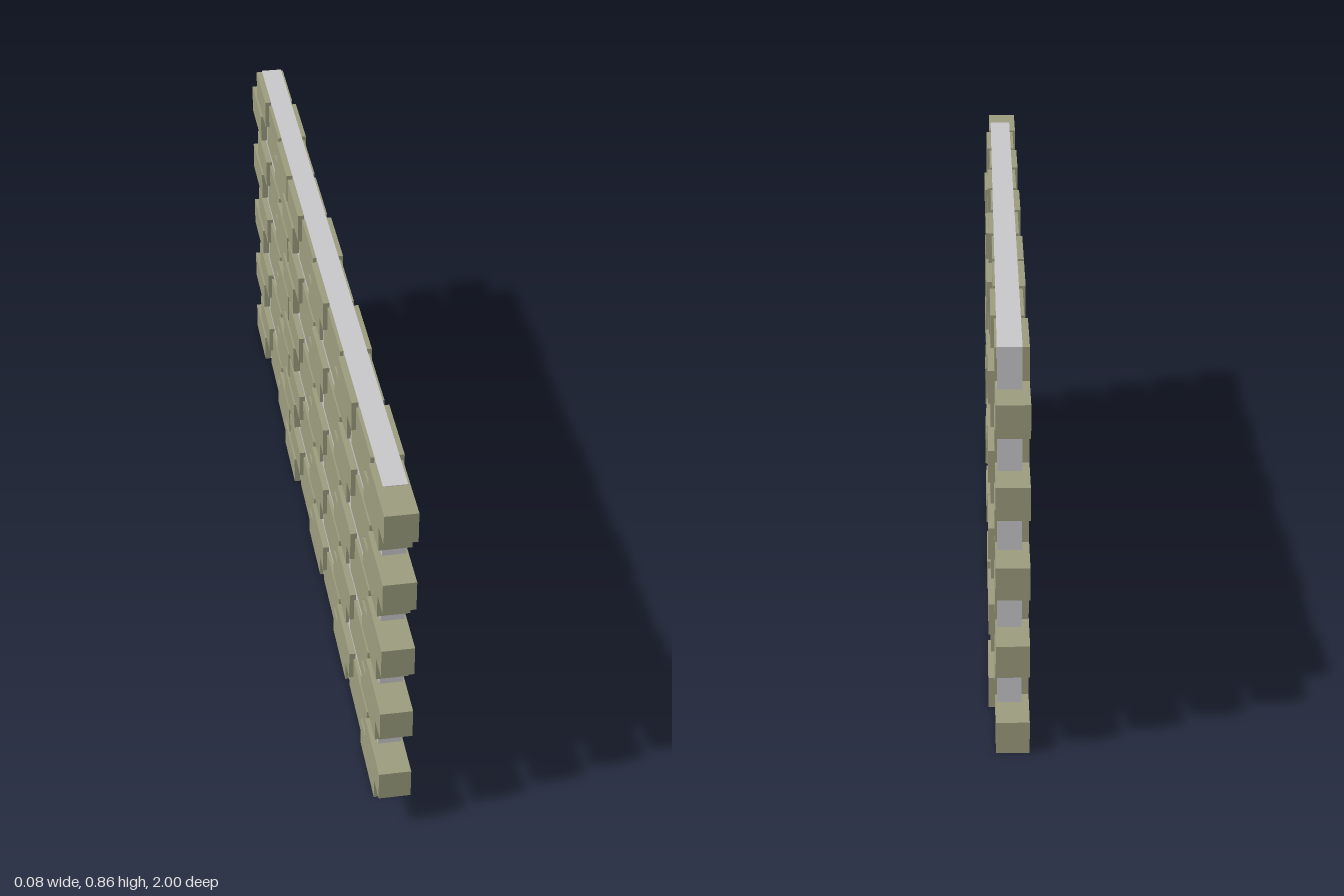
import * as THREE from 'three';

export function createModel() {
  const wall = new THREE.Group();
  wall.name = 'brickWall';
  const brickMat = new THREE.MeshStandardMaterial({ color: 0x9c9d7e });
  brickMat.name = 'brick olive';
  const mortarMat = new THREE.MeshStandardMaterial({ color: 0xc8c8cb });
  mortarMat.name = 'mortar grey';

  const ROWS = 10, PER_ROW = 10;
  const LENGTH = 0.175, HEIGHT = 0.071, DEPTH = 0.07;
  const PITCH_Z = (1.91 - LENGTH) / (PER_ROW - 1), PITCH_Y = 0.0878;

  // mortar core, set back behind the brick faces
  const mortar = new THREE.Mesh(new THREE.BoxGeometry(0.051, 0.859, 1.82), mortarMat);
  mortar.name = 'mortarCore';
  mortar.position.set(-0.0015, 0.004 + 0.859 / 2, -0.003);
  wall.add(mortar);

  // sideways offset of each brick: proud to the left, middle, or to the right
  const proudLeft = [1, 3, 5, 8], proudRight = [6, 9];
  const offset = (even, j) => {
    if (!even) return proudLeft.includes(j) ? 0.0005 : -0.0065;
    if (proudLeft.includes(j)) return 0.0065;
    return proudRight.includes(j) ? -0.0075 : 0;
  };

  // staggered courses, ends toothed by half a brick
  const geo = new THREE.BoxGeometry(DEPTH, HEIGHT, LENGTH);
  for (let i = 0; i < ROWS; i++) {
    const even = i % 2 === 0;
    const course = new THREE.Group();
    course.name = `course${i + 1}`;
    course.position.y = HEIGHT / 2 + i * PITCH_Y;
    for (let j = 0; j < PER_ROW; j++) {
      const brick = new THREE.Mesh(geo, brickMat);
      brick.name = `brick${j + 1}`;
      const start = even ? 0.91 : 1;
      brick.position.set(offset(even, j), 0, start - LENGTH / 2 - j * PITCH_Z);
      course.add(brick);
    }
    wall.add(course);
  }
  return wall;
}
